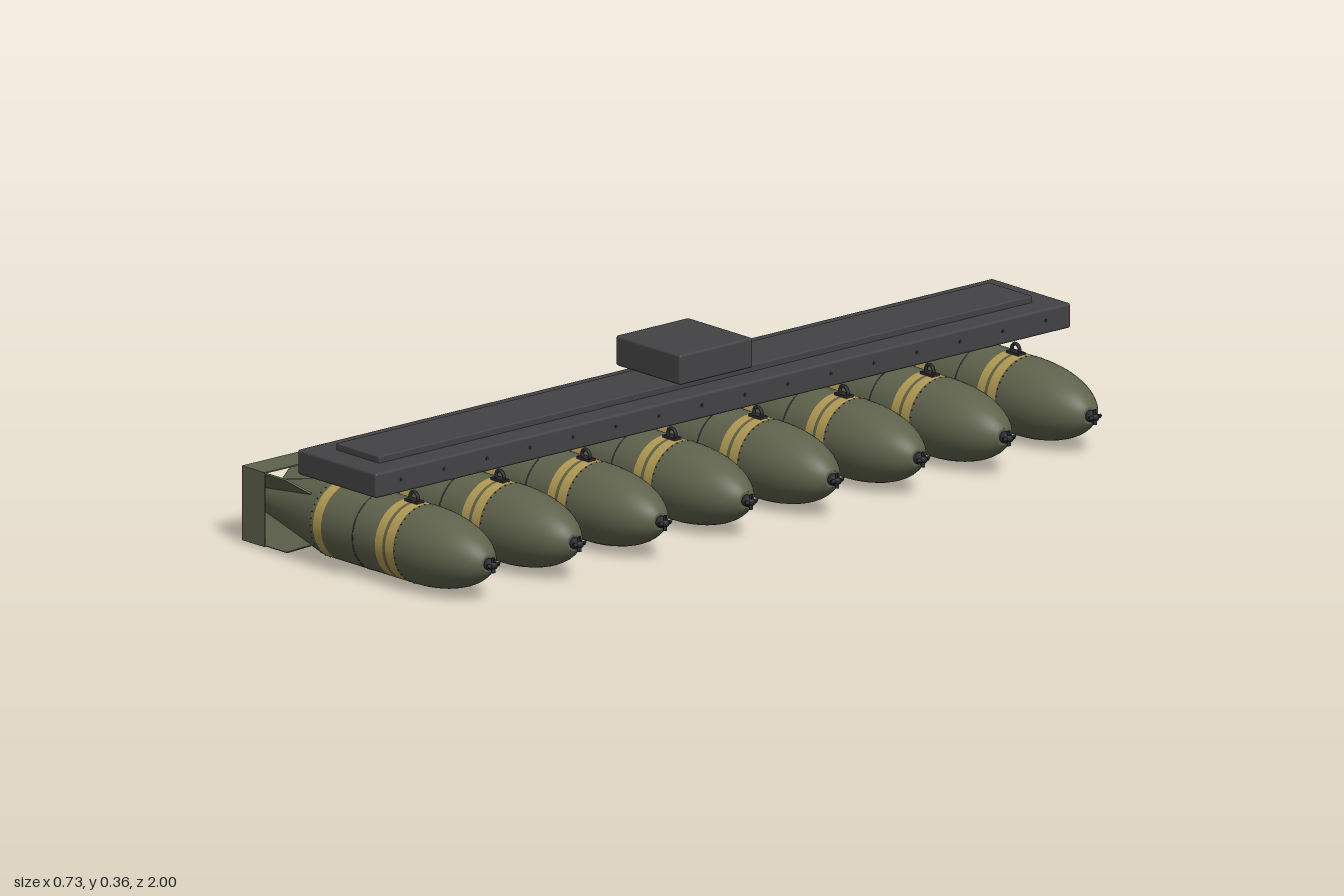
import * as THREE from 'three';
import { mergeGeometries } from 'three/addons/utils/BufferGeometryUtils.js';
import { RoundedBoxGeometry } from 'three/addons/geometries/RoundedBoxGeometry.js';

const material = (name, color, side = THREE.FrontSide) => {
  const m = new THREE.MeshStandardMaterial({ color, side });
  m.name = name;
  return m;
};

export function createModel() {
  const olive = material('olive', 0x5f634c, THREE.DoubleSide);
  const yellow = material('bandYellow', 0xb39b52);
  const grey = material('rackGrey', 0x434345);
  const dark = material('darkMetal', 0x2c2c2f);

  const AXIS = 0.09, R = 0.0875;

  const add = (parent, name, geometry, mat, x = 0, y = 0, z = 0) => {
    const mesh = new THREE.Mesh(geometry, mat);
    mesh.name = name;
    mesh.position.set(x, y, z);
    parent.add(mesh);
    return mesh;
  };

  // Surface of revolution about x, from [x, radius] pairs in ascending x
  const turned = (pairs, sides = 40) =>
    new THREE.LatheGeometry(pairs.map(([x, r]) => new THREE.Vector2(r, x)), sides).rotateZ(-Math.PI / 2);

  // ---- Geometry shared by all the stores ----
  const nose = [];
  for (let i = 0; i <= 14; i++) {
    const t = 0.976 * Math.sin((i / 14) * Math.PI / 2);
    nose.push([0.14 + 0.205 * t, R * Math.sqrt(1 - t * t)]);
  }
  const shellGeo = mergeGeometries([
    turned([[-0.355, 0.039], [-0.292, 0.053], [-0.2, 0.074], [-0.14, R]]),
    turned([[-0.14, R], [-0.13, R]]),
    turned([[-0.104, R], [0.071, R]]),
    turned([[0.095, R], [0.104, R]]),
    turned([[0.13, R], [0.14, R]]),
    turned(nose),
    turned([[0.34, 0.019], [0.341, 0]]),
    turned([[-0.345, 0], [-0.344, 0.03]]),
  ]);
  const bandGeo = mergeGeometries(
    [[-0.13, -0.104], [0.071, 0.095], [0.104, 0.13]].map(([a, b]) => turned([[a, R], [b, R]])));
  const seamGeo = turned([[-0.0045, R], [-0.004, R + 0.0007], [-0.001, R + 0.0007], [-0.0005, R]]);
  const tailRingGeo = turned([[-0.344, 0.03], [-0.357, 0.03], [-0.357, 0.039], [-0.355, 0.039]].reverse());
  tailRingGeo.scale(1, 1, 1);

  // Two rings of rivets
  const rivets = [];
  for (const x of [-0.138, 0.134]) {
    for (let i = 0; i < 36; i++) {
      const a = (i / 36) * Math.PI * 2;
      rivets.push(new THREE.IcosahedronGeometry(0.0018, 0)
        .translate(x, Math.cos(a) * R, Math.sin(a) * R));
    }
  }
  const rivetGeo = mergeGeometries(rivets);

  // Diagonal tail fins
  const finShape = new THREE.Shape([
    [-0.363, 0.036], [-0.363, 0.115], [-0.222, 0.115], [-0.17, 0.083], [-0.17, 0.06], [-0.29, 0.036],
  ].map(([x, y]) => new THREE.Vector2(x, y)));
  const finGeo = mergeGeometries([0, 1, 2, 3].map(i =>
    new THREE.ExtrudeGeometry(finShape, { depth: 0.004, bevelEnabled: false })
      .translate(0, 0, -0.002).rotateX(Math.PI / 4 + i * Math.PI / 2)));

  // Open square shroud around the tail
  const square = (Type, h) => new Type([[-h, -h], [h, -h], [h, h], [-h, h]].map(p => new THREE.Vector2(...p)));
  const shroud = square(THREE.Shape, 0.0835);
  shroud.holes.push(square(THREE.Path, 0.0805));
  const shroudGeo = new THREE.ExtrudeGeometry(shroud, { depth: 0.073, bevelEnabled: false })
    .rotateY(Math.PI / 2).translate(-0.365, 0, 0);

  // Nose cap with four small vanes
  const capGeo = mergeGeometries([
    turned([[0.336, 0], [0.336, 0.013], [0.35, 0.013], [0.351, 0.008], [0.364, 0.007], [0.365, 0]], 16),
    ...[0, 1, 2, 3].map(i => new THREE.BoxGeometry(0.005, 0.013, 0.008)
      .rotateY(0.5).translate(0.357, 0.0105, 0).rotateX(i * Math.PI / 2)),
  ]);

  const lugGeo = mergeGeometries([
    new THREE.TorusGeometry(0.0125, 0.004, 8, 20).translate(0, 0.187, 0),
    new THREE.BoxGeometry(0.04, 0.007, 0.02).translate(0, 0.179, 0),
  ]);
  const pylonGeo = new RoundedBoxGeometry(0.057, 0.032, 0.034, 2, 0.003);

  // ---- One hanging store, pointing to +x ----
  const makeStore = () => {
    const store = new THREE.Group();
    store.name = 'hangingStore';
    add(store, 'shell', shellGeo, olive, 0, AXIS);
    add(store, 'yellowBands', bandGeo, yellow, 0, AXIS);
    add(store, 'centreSeam', seamGeo, dark, 0, AXIS);
    add(store, 'tailRing', tailRingGeo, dark, 0, AXIS);
    add(store, 'rivets', rivetGeo, dark, 0, AXIS);
    add(store, 'tailFins', finGeo, olive, 0, AXIS);
    add(store, 'tailShroud', shroudGeo, olive, 0, AXIS);
    add(store, 'noseCap', capGeo, dark, 0, AXIS);
    add(store, 'rearLug', lugGeo, dark, -0.133);
    add(store, 'frontLug', lugGeo, dark, 0.1);
    add(store, 'pylon', pylonGeo, grey, 0, 0.2);
    return store;
  };

  const model = new THREE.Group();
  model.name = 'storesRack';
  for (let i = 0; i < 8; i++) {
    const store = makeStore();
    store.position.z = (i - 3.5) * 0.2473;
    model.add(store);
  }

  // ---- Rack ----
  add(model, 'rail', new RoundedBoxGeometry(0.256, 0.056, 2, 2, 0.006), grey, 0, 0.243);
  add(model, 'railTopPlate', new RoundedBoxGeometry(0.14, 0.02, 1.88, 2, 0.003), grey, 0, 0.276);
  add(model, 'topBlock', new RoundedBoxGeometry(0.21, 0.068, 0.21, 2, 0.006), grey, 0, 0.326);

  // Bolts along both sides of the rail
  const bolts = [];
  for (const side of [-1, 1]) {
    for (let i = 0; i < 16; i++) {
      bolts.push(new THREE.CylinderGeometry(0.004, 0.004, 0.004, 8)
        .rotateZ(Math.PI / 2).translate(side * 0.128, 0.245, (i - 7.5) * 0.1237));
    }
  }
  add(model, 'railBolts', mergeGeometries(bolts), dark);

  // Stand the lowest point on y = 0
  const box = new THREE.Box3().setFromObject(model);
  model.children.forEach(c => { c.position.y -= box.min.y; });
  return model;
}
